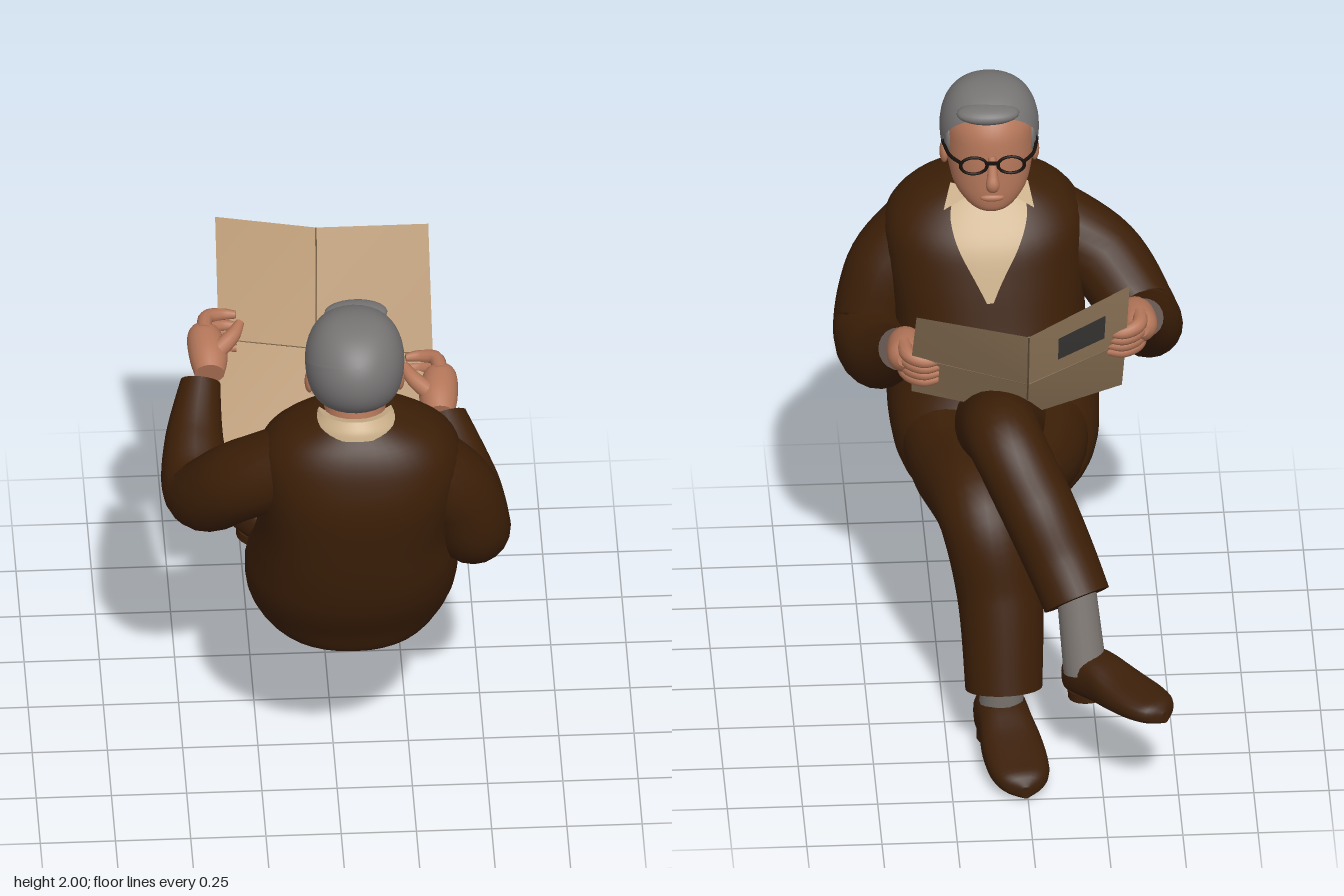
import * as THREE from 'three';

const mat = (name, color, side = THREE.FrontSide) =>
  Object.assign(new THREE.MeshStandardMaterial({ color, side }), { name });
const V = (x, y, z) => new THREE.Vector3(x, y, z);

// smooth interpolation between rows of numbers, t in 0..1
function sample(rows, t) {
  const n = rows.length - 1, s = Math.min(Math.max(t, 0), 1) * n;
  const i = Math.min(Math.floor(s), n - 1), f = s - i;
  const [a, b, c, d] = [-1, 0, 1, 2].map((k) => rows[Math.min(Math.max(i + k, 0), n)]);
  return b.map((p, k) => p + 0.5 * f * (c[k] - a[k] + f * (2 * a[k] - 5 * p + 4 * c[k] - d[k]
    + f * (3 * (p - c[k]) + d[k] - a[k]))));
}

// skin over closed rings of points, with capped ends
function skin(rings) {
  const m = rings[0].length, pts = rings.flat(), idx = [];
  for (let i = 0; i < rings.length - 1; i++) for (let j = 0; j < m; j++) {
    const a = i * m + j, b = i * m + (j + 1) % m;
    idx.push(a, a + m, b, b, a + m, b + m);
  }
  [rings[0], rings[rings.length - 1]].forEach((ring, e) => {
    const s = pts.length;
    const c = ring.reduce((v, p) => v.add(p), V(0, 0, 0)).divideScalar(m);
    pts.push(...ring, c);
    for (let j = 0; j < m; j++) {
      const k = (j + 1) % m;
      idx.push(s + m, s + (e ? k : j), s + (e ? j : k));
    }
  });
  // make the faces point outwards
  let vol = 0;
  for (let i = 0; i < idx.length; i += 3)
    vol += pts[idx[i]].dot(V(0, 0, 0).crossVectors(pts[idx[i + 1]], pts[idx[i + 2]]));
  if (vol < 0) idx.reverse();
  return surface(pts, idx);
}
function surface(pts, idx) {
  const g = new THREE.BufferGeometry().setFromPoints(pts);
  g.setIndex(idx);
  g.computeVertexNormals();
  return g;
}

// point on a stack of horizontal ovals; rows: y, centre x, centre z, radius x, radius z
const pw = (v, e) => Math.sign(v) * Math.abs(v) ** e;
function ovalPoint(rows, t, a, e = 1, grow = 0) {
  const [y, cx, cz, rx, rz] = sample(rows, t);
  return V(cx + (rx + grow) * pw(Math.cos(a), e), y, cz + (rz + grow) * pw(Math.sin(a), e));
}
const ring = (n, fn) => Array.from({ length: n }, (_, j) => fn((j / n) * Math.PI * 2));
const stack = (rows, e = 1, steps = 36) => skin(Array.from({ length: steps + 1 }, (_, i) =>
  ring(40, (a) => ovalPoint(rows, i / steps, a, e))));

// round limb; rows: x, y, z, radius
function limb(rows, steps = 32, sides = 20) {
  const at = (t) => V(...sample(rows, t).slice(0, 3));
  const d = at(1).sub(at(0));
  const ref = Math.abs(d.x) < 0.6 * d.length() ? V(1, 0, 0) : V(0, 1, 0);
  return skin(Array.from({ length: steps + 1 }, (_, i) => {
    const t = i / steps, c = at(t), r = sample(rows, t)[3];
    const tan = at(t + 0.01).sub(at(t - 0.01)).normalize();
    const u = ref.clone().addScaledVector(tan, -ref.dot(tan)).normalize();
    const w = tan.clone().cross(u);
    return ring(sides, (a) => c.clone().addScaledVector(u, r * Math.cos(a)).addScaledVector(w, r * Math.sin(a)));
  }));
}
const ball = (x, y, z, rx, ry, rz) => new THREE.SphereGeometry(1, 24, 16).scale(rx, ry, rz).translate(x, y, z);

export function createModel() {
  const root = new THREE.Group();
  root.name = 'seatedReader';
  const cloth = mat('brownCloth', 0x3c1f07);
  const leather = mat('brownLeather', 0x3b1f09);
  const shirt = mat('creamShirt', 0xc9ae88, THREE.DoubleSide);
  const flesh = mat('skin', 0xb5775a);
  const grey = mat('greyHair', 0x767373, THREE.DoubleSide);
  const sock = mat('greySock', 0x7b7570);
  const black = mat('blackFrame', 0x17100c);
  const paper = mat('paper', 0xb89873, THREE.DoubleSide);
  const ink = mat('printInk', 0x4a4745, THREE.DoubleSide);
  const crease = mat('paperCrease', 0x7d654a);
  const add = (name, geo, m, parent = root) => {
    const mesh = new THREE.Mesh(geo, m);
    mesh.name = name;
    parent.add(mesh);
  };

  // body
  const torso = [[0.63, 0.06, 0.32, 0.2, 0.24], [0.66, 0.05, 0.31, 0.28, 0.31], [0.75, 0.048, 0.33, 0.335, 0.335],
    [0.87, 0.052, 0.39, 0.352, 0.34], [1.0, 0.06, 0.46, 0.338, 0.315], [1.15, 0.06, 0.51, 0.32, 0.298],
    [1.35, 0.07, 0.555, 0.335, 0.278], [1.48, 0.07, 0.57, 0.33, 0.243], [1.57, 0.065, 0.588, 0.265, 0.188],
    [1.63, 0.06, 0.59, 0.155, 0.132], [1.65, 0.055, 0.59, 0.1, 0.09]];
  add('sweater', stack(torso, 0.88, 50), cloth);

  // V of the shirt, following the chest
  const rows = 16, cols = 12, pts = [], idx = [];
  for (let i = 0; i <= rows; i++) for (let j = 0; j <= cols; j++) {
    const a = -Math.PI / 2 + (j / cols * 2 - 1) * (0.02 + 0.68 * i / rows);
    pts.push(ovalPoint(torso, 0.58 + 0.36 * i / rows, a, 0.88, 0.008));
    if (i < rows && j < cols) {
      const k = i * (cols + 1) + j;
      idx.push(k, k + cols + 1, k + 1, k + 1, k + cols + 1, k + cols + 2);
    }
  }
  add('shirtFront', surface(pts, idx), shirt);
  const collar = stack([[1.61, 0.058, 0.585, 0.165, 0.155], [1.64, 0.058, 0.585, 0.15, 0.145], [1.672, 0.055, 0.58, 0.12, 0.125]], 1, 8);
  const cp = collar.attributes.position;
  for (let i = 0; i < cp.count; i++) cp.setY(i, cp.getY(i) + (cp.getZ(i) - 0.7) * 0.22);
  collar.computeVertexNormals();
  add('collar', collar, shirt);
  for (const s of [-1, 1]) {
    const wing = [[0.93, 0.2], [0.93, 0.95], [0.82, 0.55]].map(([t, a]) => ovalPoint(torso, t, -Math.PI / 2 + s * a, 0.88, 0.022));
    add('collarWing', surface(wing, [0, 1, 2]), shirt);
  }

  // arms with sleeves
  add('rightSleeve', limb([[0.24, 1.45, 0.6, 0.135], [0.39, 1.28, 0.57, 0.138], [0.45, 1.08, 0.51, 0.127],
    [0.435, 1.1, 0.3, 0.115], [0.38, 1.24, 0.11, 0.072]]), cloth);
  add('leftSleeve', limb([[-0.11, 1.45, 0.6, 0.135], [-0.32, 1.32, 0.53, 0.135], [-0.445, 1.165, 0.39, 0.123],
    [-0.46, 1.24, 0.22, 0.1], [-0.43, 1.37, 0.05, 0.066]]), cloth);

  // hands: s points towards the inside of the page
  const hand = (name, x, y, z, s) => {
    const h = new THREE.Group();
    h.name = name;
    h.position.set(x, y, z);
    root.add(h);
    add('palm', limb([[0, -0.02, 0.1, 0.05], [0, 0, 0.03, 0.064], [-s * 0.01, 0.02, -0.06, 0.056], [-s * 0.01, 0.03, -0.1, 0.025]], 16), flesh, h);
    add('thumb', limb([[s * 0.02, 0.02, 0.04, 0.032], [s * 0.08, 0.05, -0.01, 0.026], [s * 0.11, 0.07, -0.06, 0.015]], 10, 12), flesh, h);
    for (let i = 0; i < 4; i++) {
      const dy = 0.055 - i * 0.034, dz = -0.04 + i * 0.016;
      add('finger', limb([[-s * 0.01, dy, dz, 0.025], [0, dy, dz - 0.07, 0.025],
        [s * 0.05, dy - 0.01, dz - 0.1, 0.021], [s * 0.1, dy - 0.01, dz - 0.095, 0.013]], 14, 10), flesh, h);
    }
  };
  hand('rightHand', 0.36, 1.28, 0.03, -1);
  hand('leftHand', -0.4, 1.42, -0.05, 1);

  // trousers
  add('standingLeg', limb([[0.2, 0.82, 0.42, 0.19], [0.18, 0.8, 0.1, 0.168], [0.12, 0.8, -0.22, 0.152],
    [0.07, 0.54, -0.32, 0.142], [0.062, 0.235, -0.42, 0.128]], 44, 28), cloth);
  add('crossedLeg', limb([[-0.02, 0.86, 0.42, 0.19], [0.04, 0.935, 0.1, 0.158], [0.05, 1.07, -0.185, 0.128],
    [-0.05, 0.9, -0.345, 0.125], [-0.125, 0.74, -0.435, 0.12], [-0.175, 0.63, -0.515, 0.115]], 50, 28), cloth);
  add('thighUnderside', limb([[-0.09, 0.82, 0.42, 0.19], [-0.07, 0.83, 0.12, 0.17], [-0.02, 0.87, -0.1, 0.13]], 20, 28), cloth);
  add('standingSock', limb([[0.065, 0.32, -0.4, 0.07], [0.07, 0.1, -0.38, 0.075]], 6), sock);
  add('crossedSock', limb([[-0.17, 0.7, -0.48, 0.065], [-0.2, 0.38, -0.56, 0.072]], 6), sock);

  // shoes; rows: length, half width, height
  const last = [[-0.01, 0.02, 0.08], [0.01, 0.07, 0.15], [0.08, 0.09, 0.185], [0.17, 0.093, 0.18],
    [0.28, 0.105, 0.135], [0.4, 0.102, 0.1], [0.47, 0.073, 0.08], [0.5, 0.015, 0.045]];
  const shoe = (name, x, y, z, turn, tilt, size) => {
    const g = new THREE.Group();
    g.name = name;
    g.position.set(x, y, z);
    g.rotation.set(tilt, turn, 0, 'YXZ');
    g.scale.setScalar(size);
    root.add(g);
    add('shoeUpper', skin(Array.from({ length: 29 }, (_, i) => {
      const [l, w, h] = sample(last, i / 28);
      return ring(24, (a) => V(w * pw(Math.cos(a), 0.8), 0.01 + h * (0.5 + 0.5 * pw(Math.sin(a), 0.8)), l));
    })), leather, g);
    add('heel', new THREE.CylinderGeometry(0.078, 0.078, 0.035, 20).translate(0, 0.0175, 0.075), leather, g);
  };
  shoe('standingShoe', 0.085, 0, -0.275, Math.PI + 0.16, 0, 0.98);
  shoe('crossedShoe', -0.17, 0.27, -0.5, Math.PI + 0.71, -0.13, 0.88);

  // head
  const head = new THREE.Group();
  head.name = 'head';
  root.add(head);
  add('neck', limb([[0.055, 1.55, 0.6, 0.1], [0.055, 1.72, 0.56, 0.105]], 6), flesh, head);
  add('face', stack([[1.575, 0.055, 0.45, 0.03, 0.03], [1.6, 0.055, 0.46, 0.075, 0.075], [1.65, 0.055, 0.5, 0.12, 0.125],
    [1.72, 0.055, 0.53, 0.14, 0.155], [1.8, 0.055, 0.55, 0.148, 0.17], [1.88, 0.055, 0.56, 0.145, 0.165],
    [1.94, 0.055, 0.57, 0.11, 0.13], [1.97, 0.055, 0.57, 0.05, 0.06]]), flesh, head);
  add('nose', limb([[0.055, 1.81, 0.385, 0.013], [0.055, 1.75, 0.362, 0.018], [0.055, 1.715, 0.352, 0.023], [0.055, 1.695, 0.375, 0.014]], 12, 14), flesh, head);
  add('lips', ball(0.055, 1.652, 0.382, 0.04, 0.014, 0.015), flesh, head);
  // cap of hair, with fuller sides than a ball
  const hair = new THREE.SphereGeometry(1, 40, 24, 0, Math.PI * 2, 0, 1.88).rotateX(1.04);
  const hp = hair.attributes.position;
  for (let i = 0; i < hp.count; i++) {
    const y = hp.getY(i);
    hp.setX(i, hp.getX(i) * Math.max(1 - y * y, 0.02) ** (y > 0 ? -0.14 : -0.25));
  }
  hair.scale(0.165, 0.17, 0.2).translate(0.055, 1.83, 0.56);
  hair.computeVertexNormals();
  add('hair', hair, grey, head);
  add('forelock', ball(0.065, 1.94, 0.45, 0.105, 0.032, 0.058), grey, head);
  for (const s of [-1, 1]) {
    const x = 0.055 + s * 0.062;
    add('ear', ball(0.055 + s * 0.15, 1.735, 0.55, 0.016, 0.042, 0.028), flesh, head);
    add('sideburn', ball(0.055 + s * 0.138, 1.81, 0.51, 0.015, 0.055, 0.03), grey, head);
    add('lensRim', new THREE.TorusGeometry(0.044, 0.006, 8, 28).scale(1, 0.72, 1).translate(x, 1.79, 0.362), black, head);
    add('templeArm', limb([[x + s * 0.042, 1.8, 0.365, 0.006], [0.055 + s * 0.14, 1.8, 0.42, 0.006], [0.055 + s * 0.157, 1.79, 0.53, 0.006]], 10, 8), black, head);
  }
  add('glassesBridge', new THREE.BoxGeometry(0.04, 0.01, 0.01).translate(0.055, 1.8, 0.357), black, head);

  // folded sheet: rows run from top to bottom, columns from left edge to right edge
  const sheet = [
    [V(-0.36, 1.75, -0.35), V(-0.02, 1.62, -0.445), V(0.35, 1.67, -0.38)],
    [V(-0.36, 1.4, -0.14), V(-0.03, 1.29, -0.215), V(0.35, 1.34, -0.1)],
    [V(-0.36, 1.08, 0.1), V(-0.04, 1.01, 0.04), V(0.34, 1.08, 0.1)]];
  const news = new THREE.Group();
  news.name = 'newspaper';
  root.add(news);
  const quad = (...corners) => surface(corners, [0, 2, 1, 1, 2, 3]);
  for (let i = 0; i < 2; i++) {
    for (let j = 0; j < 2; j++)
      add('page', quad(sheet[i][j], sheet[i][j + 1], sheet[i + 1][j], sheet[i + 1][j + 1]), paper, news);
    add('spineCrease', limb([sheet[i][1], sheet[i + 1][1]].map((p) => [...p, 0.003]), 2, 6), crease, news);
    add('middleCrease', limb([sheet[1][i], sheet[1][i + 1]].map((p) => [...p, 0.002]), 2, 6), crease, news);
  }
  // printed picture on the outside
  const on = (u, v) => sheet[0][0].clone().lerp(sheet[0][1], u)
    .lerp(sheet[1][0].clone().lerp(sheet[1][1], u), v).add(V(0, -0.004, -0.006));
  add('printedPicture', quad(on(0.23, 0.3), on(0.7, 0.3), on(0.23, 0.72), on(0.7, 0.72)), ink, news);
  return root;
}
